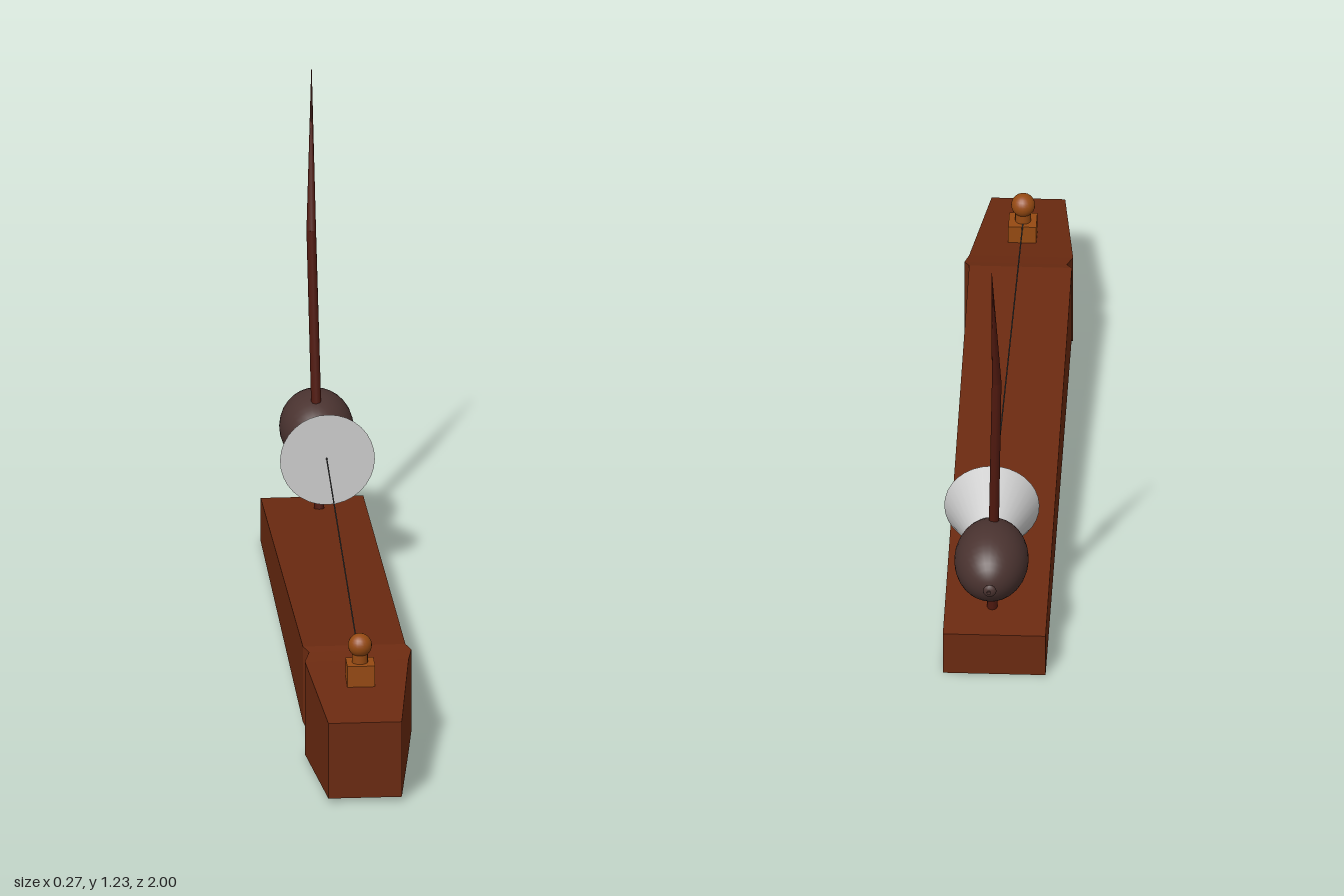
import * as THREE from 'three';

const mat = (color, flatShading = false) =>
  new THREE.MeshStandardMaterial({ color, flatShading, side: THREE.DoubleSide });

// Tapered round rod between two points
function rod(a, b, r0, r1, sides, material) {
  const p = new THREE.Vector3(...a), q = new THREE.Vector3(...b);
  const dir = q.clone().sub(p);
  const mesh = new THREE.Mesh(new THREE.CylinderGeometry(r1, r0, dir.length(), sides), material);
  mesh.position.copy(p).add(q).multiplyScalar(0.5);
  mesh.quaternion.setFromUnitVectors(new THREE.Vector3(0, 1, 0), dir.normalize());
  return mesh;
}

// Solid through rectangular sections [z, left, right, bottom, top], ordered front to back
function beam(sections) {
  const pos = [], idx = [];
  for (const [z, l, r, b, t] of sections) pos.push(l, b, z, r, b, z, r, t, z, l, t, z);
  for (let s = 0; s < sections.length - 1; s++) {
    for (let i = 0; i < 4; i++) {
      const a = s * 4 + i, b = s * 4 + (i + 1) % 4;
      idx.push(a, a + 4, b, b, a + 4, b + 4);
    }
  }
  const e = (sections.length - 1) * 4;
  idx.push(0, 1, 2, 0, 2, 3, e, e + 2, e + 1, e, e + 3, e + 2);
  const indexed = new THREE.BufferGeometry();
  indexed.setAttribute('position', new THREE.Float32BufferAttribute(pos, 3));
  indexed.setIndex(idx);
  const geo = indexed.toNonIndexed();
  geo.computeVertexNormals();
  return geo;
}

export function createModel() {
  const group = new THREE.Group();
  const add = (name, mesh, x, y, z) => {
    mesh.name = name;
    if (x !== undefined) mesh.position.set(x, y, z);
    group.add(mesh);
    return mesh;
  };
  const wood = mat(0x6b2a10, true);
  const darkWood = mat(0x521a10);
  const peg = mat(0x964a12);
  const shell = mat(0x4a3330);
  const metal = mat(0xcccccc);

  // Long beam with a swollen, tapering head
  add('body', new THREE.Mesh(beam([
    [1, -0.102, 0.082, 0.01, 0.21],
    [0.665, -0.137, 0.123, 0.005, 0.252],
    [0.62, -0.123, 0.133, 0.042, 0.26],
    [0.595, -0.137, 0.12, 0.065, 0.266],
    [-0.88, -0.137, 0.12, 0, 0.115],
  ]), wood));

  // String post: block, neck and ball
  add('postBlock', new THREE.Mesh(new THREE.BoxGeometry(0.07, 0.06, 0.066), peg), -0.006, 0.259, 0.776);
  add('postNeck', new THREE.Mesh(new THREE.CylinderGeometry(0.02, 0.02, 0.04, 16), peg), -0.007, 0.298, 0.776);
  add('postBall', new THREE.Mesh(new THREE.SphereGeometry(0.03, 20, 14), peg), -0.007, 0.334, 0.776);

  // Bent stick with a pointed tip
  const bend = [-0.013, 0.84, -0.842];
  add('stickLower', rod([0.002, 0.09, -0.763], bend, 0.013, 0.012, 8, darkWood));
  add('stickJoint', new THREE.Mesh(new THREE.SphereGeometry(0.012, 8, 6), darkWood), ...bend);
  add('stickTip', rod(bend, [-0.005, 1.23, -0.945], 0.012, 0.0008, 8, darkWood));

  // Egg-shaped resonator with a small tail knob
  const egg = add('resonator', new THREE.Mesh(new THREE.SphereGeometry(1, 28, 20).rotateX(Math.PI / 2), shell), 0, 0.315, -0.842);
  egg.scale.set(0.093, 0.094, 0.13);
  add('tailStem', rod([0, 0.315, -0.96], [0, 0.315, -1], 0.006, 0.005, 8, shell));
  const knob = add('tailKnob', new THREE.Mesh(new THREE.SphereGeometry(0.017, 10, 8), shell), -0.002, 0.315, -0.988);
  knob.scale.z = 0.5;

  // Flared horn, closed at the mouth
  add('horn', rod([0.007, 0.315, -0.735], [0.01, 0.318, -0.597], 0.057, 0.119, 32, metal));

  // Taut string
  add('string', rod([-0.007, 0.288, 0.776], [0.008, 0.322, -0.6], 0.0018, 0.0018, 6, mat(0x444444)));
  return group;
}
